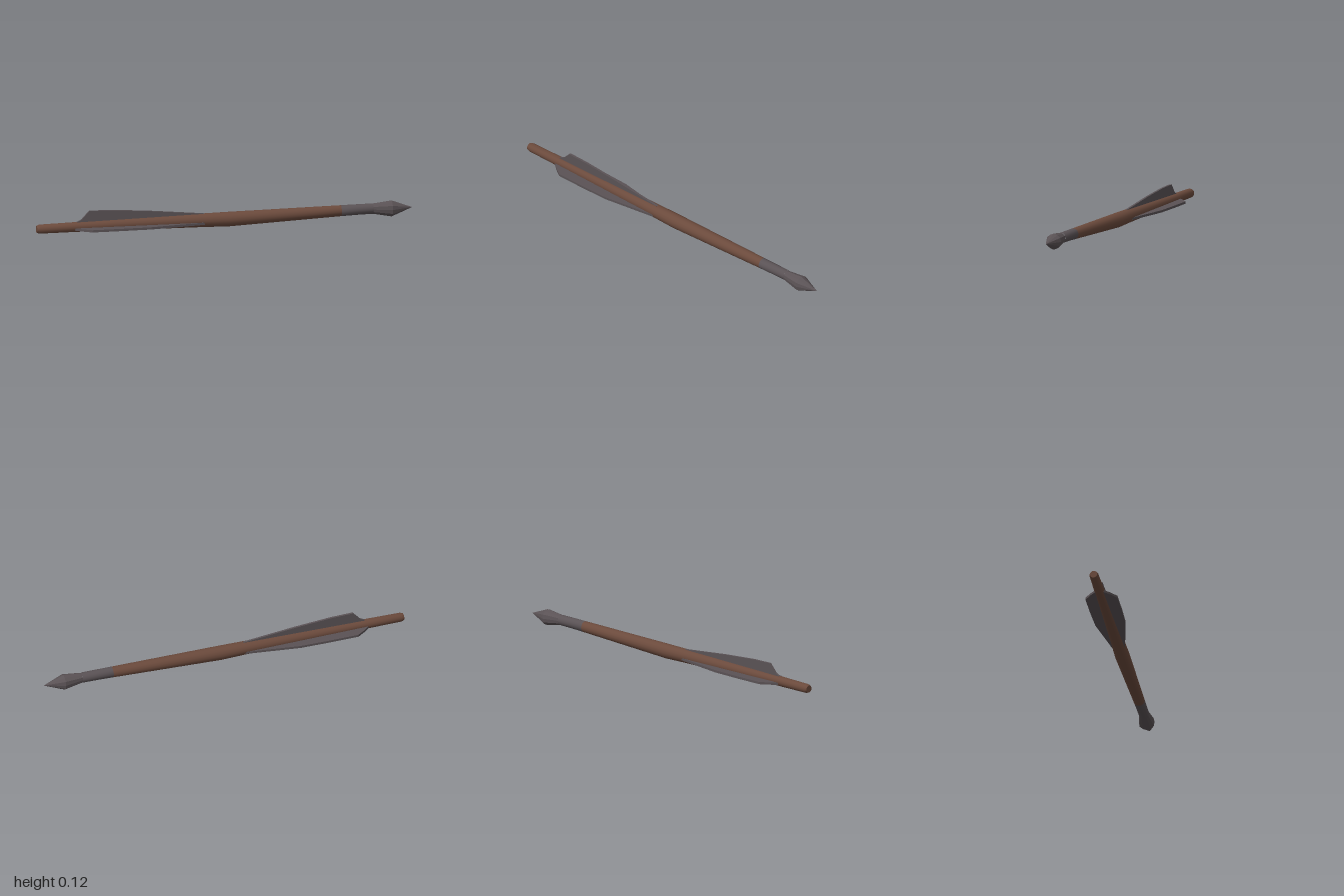
import * as THREE from 'three';
import { toCreasedNormals } from 'three/addons/utils/BufferGeometryUtils.js';

// Skin of round cross-sections along x; each section is [x, centreY, radius]
function loft(sections, sides, crease, flute = 1) {
  const pos = [], idx = [];
  for (const [x, y, r] of sections) {
    for (let j = 0; j < sides; j++) {
      const a = (j / sides) * Math.PI * 2;
      const k = j % 2 ? r * flute : r;
      pos.push(x, y + k * Math.cos(a), k * Math.sin(a));
    }
  }
  for (let i = 0; i < sections.length - 1; i++) {
    for (let j = 0; j < sides; j++) {
      const a = i * sides + j, b = i * sides + (j + 1) % sides;
      const c = a + sides, d = b + sides;
      if (sections[i][2] > 0) idx.push(a, b, c);
      if (sections[i + 1][2] > 0) idx.push(b, d, c);
    }
  }
  // The first triangle of a section that shrinks to a point is complete by itself
  const g = new THREE.BufferGeometry();
  g.setAttribute('position', new THREE.Float32BufferAttribute(pos, 3));
  g.setIndex(idx);
  return toCreasedNormals(g, crease);
}

// Thin feather plate standing up from y = 0
function vane(points) {
  const shape = new THREE.Shape(points.map(([x, y]) => new THREE.Vector2(x, y)));
  const g = new THREE.ExtrudeGeometry(shape, { depth: 0.012, bevelEnabled: false });
  return g.translate(0, 0, -0.006);
}

export function createModel() {
  const group = new THREE.Group();
  group.name = 'arrow';
  const wood = new THREE.MeshStandardMaterial({ color: 0x6b4a3c });
  wood.name = 'brown wood';
  const metal = new THREE.MeshStandardMaterial({ color: 0x5a5255 });
  metal.name = 'dark grey';

  const add = (name, geometry, material) => {
    const mesh = new THREE.Mesh(geometry, material);
    mesh.name = name;
    group.add(mesh);
    return mesh;
  };

  // Wooden shaft, thickest at the middle, rising slightly to the front
  add('shaft', loft([
    [-1, 0.034, 0], [-1, 0.034, 0.019], [-0.985, 0.034, 0.024], [-0.8, 0.036, 0.026],
    [-0.12, 0.039, 0.036], [0.02, 0.0385, 0.0385], [0.62, 0.054, 0.029],
  ], 16, 0.7), wood);

  // Socket that joins the point to the shaft
  add('socket', loft([
    [0.62, 0.054, 0.029], [0.7, 0.056, 0.028], [0.79, 0.057, 0.0275],
  ], 16, 0.7), metal);

  // Faceted point
  add('point', loft([
    [0.79, 0.057, 0.0275], [0.89, 0.053, 0.043], [1, 0.055, 0],
  ], 12, 0.1, 0.95), metal);

  // Top feather
  add('topFeather', vane([
    [-0.79, 0.045], [-0.12, 0.05], [-0.11, 0.075], [-0.4, 0.103], [-0.6, 0.117],
    [-0.72, 0.119], [-0.76, 0.075], [-0.79, 0.06],
  ]), metal);

  // Mirrored side feathers
  for (const side of [1, -1]) {
    const mesh = add(side > 0 ? 'leftFeather' : 'rightFeather', vane([
      [-0.79, 0.01], [-0.12, 0.01], [-0.11, 0.034], [-0.4, 0.08], [-0.56, 0.084],
      [-0.72, 0.084], [-0.77, 0.05], [-0.8, 0.024],
    ]), metal);
    mesh.rotation.x = side * Math.PI / 2;
    mesh.position.y = 0.028;
  }
  return group;
}
